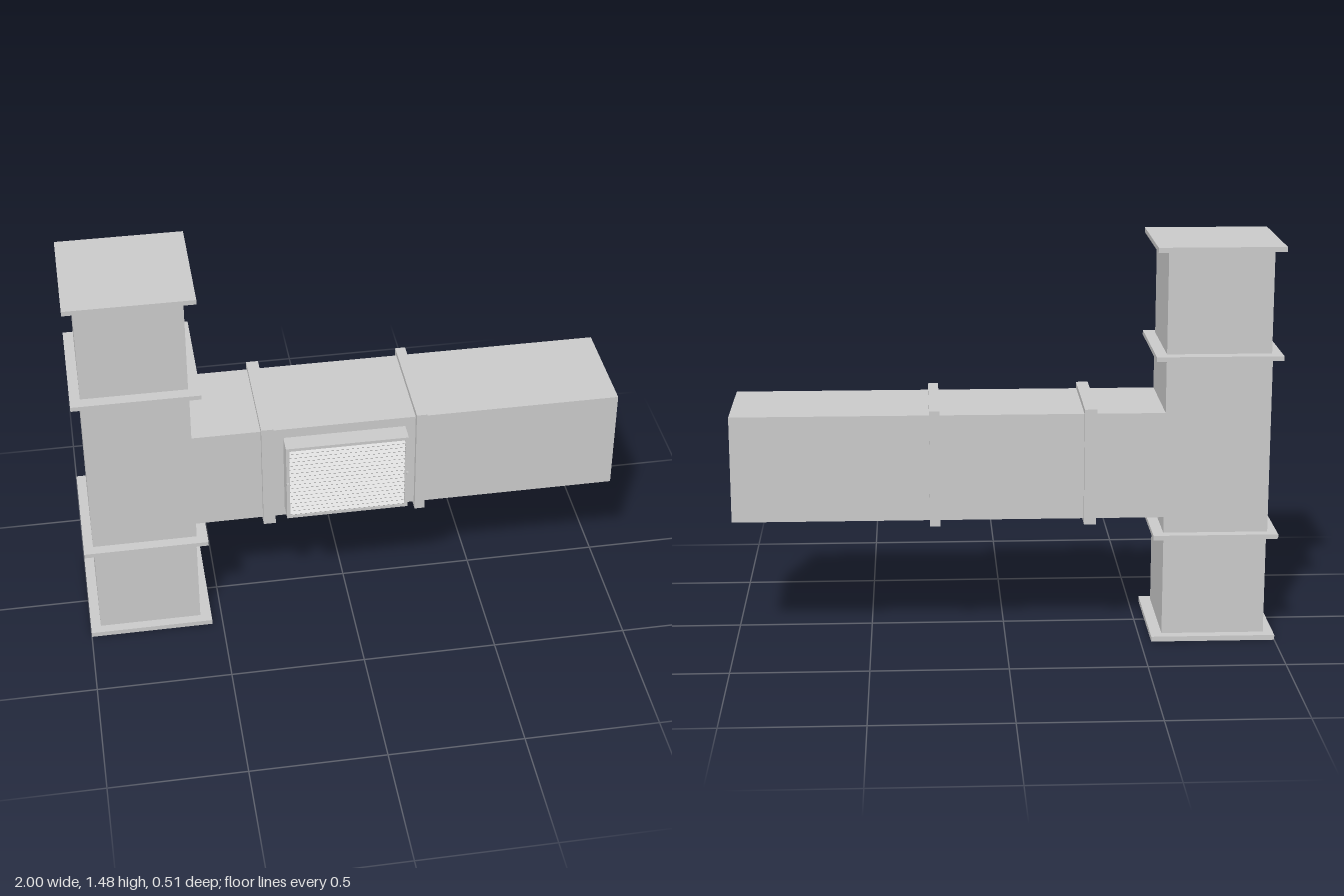
import * as THREE from 'three';

export function createModel() {
  const model = new THREE.Group();
  const mat = new THREE.MeshStandardMaterial({ color: 0xcccccc, flatShading: true });

  // Box given by its extents on each axis
  function block(name, [x0, x1], [y0, y1], [z0, z1], parent = model) {
    const mesh = new THREE.Mesh(new THREE.BoxGeometry(x1 - x0, y1 - y0, z1 - z0), mat);
    mesh.position.set((x0 + x1) / 2, (y0 + y1) / 2, (z0 + z1) / 2);
    mesh.name = name;
    parent.add(mesh);
    return mesh;
  }

  // Vertical duct: lower and upper sections around the tee body
  const column = [-0.963, -0.582];
  block('lowerDuct', column, [0.01, 0.41], [-0.207, 0.174]);
  block('upperDuct', column, [1.07, 1.47], [-0.207, 0.174]);
  block('teeBody', [-0.965, -0.58], [0.405, 1.08], [-0.217, 0.179]);

  // Flange plates: closed ends and joints
  const plate = [-1, -0.54];
  block('bottomFlange', plate, [0, 0.019], [-0.245, 0.21]);
  block('lowerJointFlange', plate, [0.398, 0.415], [-0.255, 0.219]);
  block('upperJointFlange', plate, [1.068, 1.085], [-0.255, 0.219]);
  block('topFlange', plate, [1.462, 1.48], [-0.245, 0.21]);

  // Horizontal branch with two collars
  block('branchDuct', [-0.582, 1], [0.475, 0.87], [-0.218, 0.178]);
  block('innerCollar', [-0.33, -0.285], [0.457, 0.89], [-0.237, 0.199]);
  block('outerCollar', [0.24, 0.278], [0.457, 0.89], [-0.237, 0.199]);

  // Louvred vent: hollow frame, back panel, tilted slats
  const vent = new THREE.Group();
  vent.name = 'vent';
  model.add(vent);
  const [l, r, b, t] = [-0.248, 0.202, 0.513, 0.832];
  const rim = 0.012;
  const shape = new THREE.Shape([[l, b], [r, b], [r, t], [l, t]].map(p => new THREE.Vector2(...p)));
  shape.holes.push(new THREE.Path([[l + rim, b + rim], [l + rim, t - rim], [r - rim, t - rim], [r - rim, b + rim]]
    .map(p => new THREE.Vector2(...p))));
  const frame = new THREE.Mesh(new THREE.ExtrudeGeometry(shape, { depth: 0.078, bevelEnabled: false }), mat);
  frame.position.z = 0.17;
  frame.name = 'ventFrame';
  vent.add(frame);
  block('ventBack', [l + rim, r - rim], [b + rim, t - rim], [0.17, 0.222], vent);

  const slats = 17;
  const pitch = (t - b - 2 * rim) / slats;
  for (let i = 0; i < slats; i++) {
    const y = b + rim + (i + 0.5) * pitch;
    const slat = block('slat', [l + rim, r - rim], [y - 0.0015, y + 0.0015], [0.227, 0.249], vent);
    slat.rotation.x = Math.PI / 5;
  }

  // Small pivots at the sides of the vent
  for (const x of [l + 0.004, r - 0.004]) {
    block('ventPivot', [x - 0.004, x + 0.004], [0.667, 0.677], [0.24, 0.255], vent);
  }
  return model;
}
